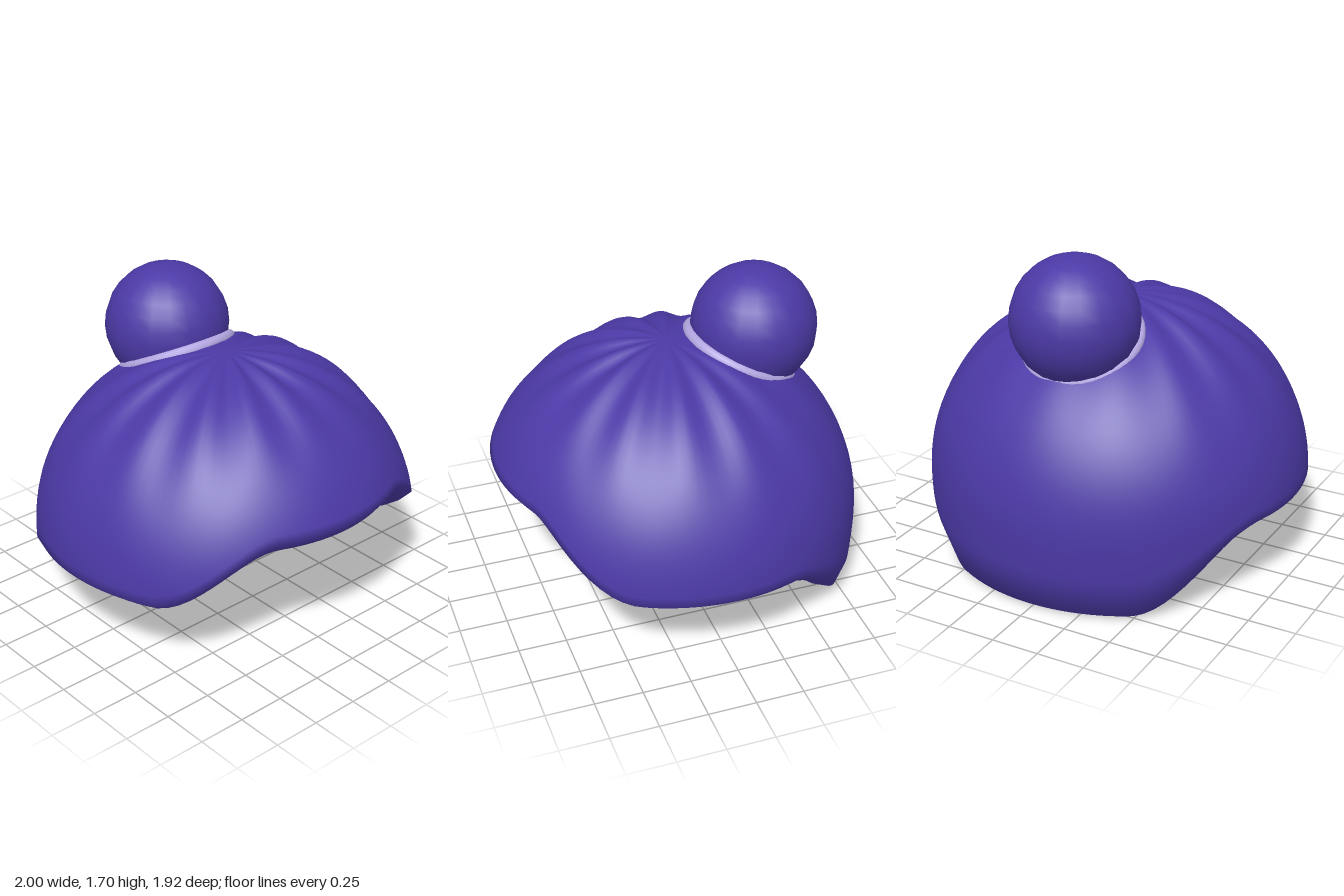
import * as THREE from 'three';
import { mergeVertices } from 'three/addons/utils/BufferGeometryUtils.js';

const COLS = 112;
const CY = 0.42; // height of the widest part of the dome
const { smoothstep, lerp } = THREE.MathUtils;

// Blend front, side and back values by angle (0 = front, 180 = back)
function around(theta, front, side, back) {
  const deg = Math.abs(theta) * 180 / Math.PI;
  const f = 1 - smoothstep(deg, 24, 63);
  const k = smoothstep(deg, 107, 149);
  return front * f + side * (1 - f - k) + back * k;
}

const brimHeight = (th) => around(th, 0.64, 0.38, 0.05);
const innerRatio = (th) => around(th, 0.73, 0.77, 0.7);

// Point on the slightly oval plan; the crown leans a little forward
function place(theta, ratio, y) {
  const c = Math.cos(theta);
  const lean = 0.035 * (1 - ratio) ** 2;
  return [ratio * Math.sin(theta), y, ratio * c * (c > 0 ? 1.03 : 0.96) + lean];
}

// Surface joined around the vertical axis; rowsAt(theta) gives [ratio, y] pairs
function sweep(rowsAt) {
  const pos = [], idx = [];
  let n = 0;
  for (let j = 0; j < COLS; j++) {
    const th = -Math.PI + (j / COLS) * Math.PI * 2;
    const rows = rowsAt(th);
    n = rows.length;
    rows.forEach(([r, y]) => pos.push(...place(th, r, y)));
  }
  for (let j = 0; j < COLS; j++) {
    for (let i = 0; i < n - 1; i++) {
      const a = j * n + i, b = ((j + 1) % COLS) * n + i;
      idx.push(a, a + 1, b + 1, a, b + 1, b);
    }
  }
  const raw = new THREE.BufferGeometry();
  raw.setAttribute('position', new THREE.Float32BufferAttribute(pos, 3));
  raw.setIndex(idx);
  const geo = mergeVertices(raw, 1e-5);
  geo.computeVertexNormals();
  return geo;
}

// Outside of the cap: gathered crown, then the rounded brim turning inward
function shellRows(th) {
  const rows = [], N = 28, B = brimHeight(th);
  const end = Math.asin((B + around(th, 0.135, 0.065, 0.13) - CY) / 0.95);
  const strength = around(th, 0.014, 0.014, 0.003);
  const fullness = around(th, 0.02, 0, 0);
  for (let i = 0; i <= N; i++) {
    const t = i / N;
    const phi = lerp(Math.PI / 2, end, t);
    const fold = strength * Math.cos(14 * th) * smoothstep(t, 0, 0.28) * (1 - smoothstep(t, 0.28, 0.85));
    const swell = 1 + fold * 0.6 + fullness * Math.sin(Math.PI * t);
    const r = i === 0 ? 0 : Math.cos(phi < 0 ? phi * 0.6 : phi) * swell;
    rows.push([r, CY + 0.95 * Math.sin(phi) + fold]);
  }
  rows.push([around(th, 0.88, 0.945, 0.935), B + around(th, 0.07, 0.02, -0.035)]);
  rows.push([around(th, 0.78, 0.87, 0.84), B + around(th, 0.01, 0, -0.05)]);
  rows.push([innerRatio(th), B]);
  return rows;
}

// Inside of the cap, from the opening up to the crown
function liningRows(th) {
  const rows = [], N = 18;
  const start = Math.asin((brimHeight(th) - CY) / 0.83);
  for (let i = 0; i <= N; i++) {
    const t = i / N;
    const phi = lerp(start, Math.PI / 2, t);
    const r = i === N ? 0 : lerp(innerRatio(th), 0.87 * Math.cos(phi), smoothstep(t, 0, 0.3));
    rows.push([r, CY + 0.83 * Math.sin(phi)]);
  }
  return rows;
}

export function createModel() {
  const group = new THREE.Group();
  const wool = new THREE.MeshStandardMaterial({ color: 0x4c39a6 });
  wool.name = 'purple wool';
  const trim = new THREE.MeshStandardMaterial({ color: 0xb3a6e0 });
  trim.name = 'pale lavender trim';

  const add = (name, geometry, material) => {
    const mesh = new THREE.Mesh(geometry, material);
    mesh.name = name;
    group.add(mesh);
    return mesh;
  };

  add('capShell', sweep(shellRows), wool);
  add('capLining', sweep(liningRows), wool);

  // Pompom sitting towards the back, with a tilted band at its base
  add('pompom', new THREE.SphereGeometry(0.327, 20, 14), wool).position.set(0, 1.373, -0.437);
  const band = add('pompomBand', new THREE.TorusGeometry(0.286, 0.032, 10, 40), trim);
  band.position.set(0, 1.235, -0.362);
  band.rotation.x = -2.025;

  return group;
}
